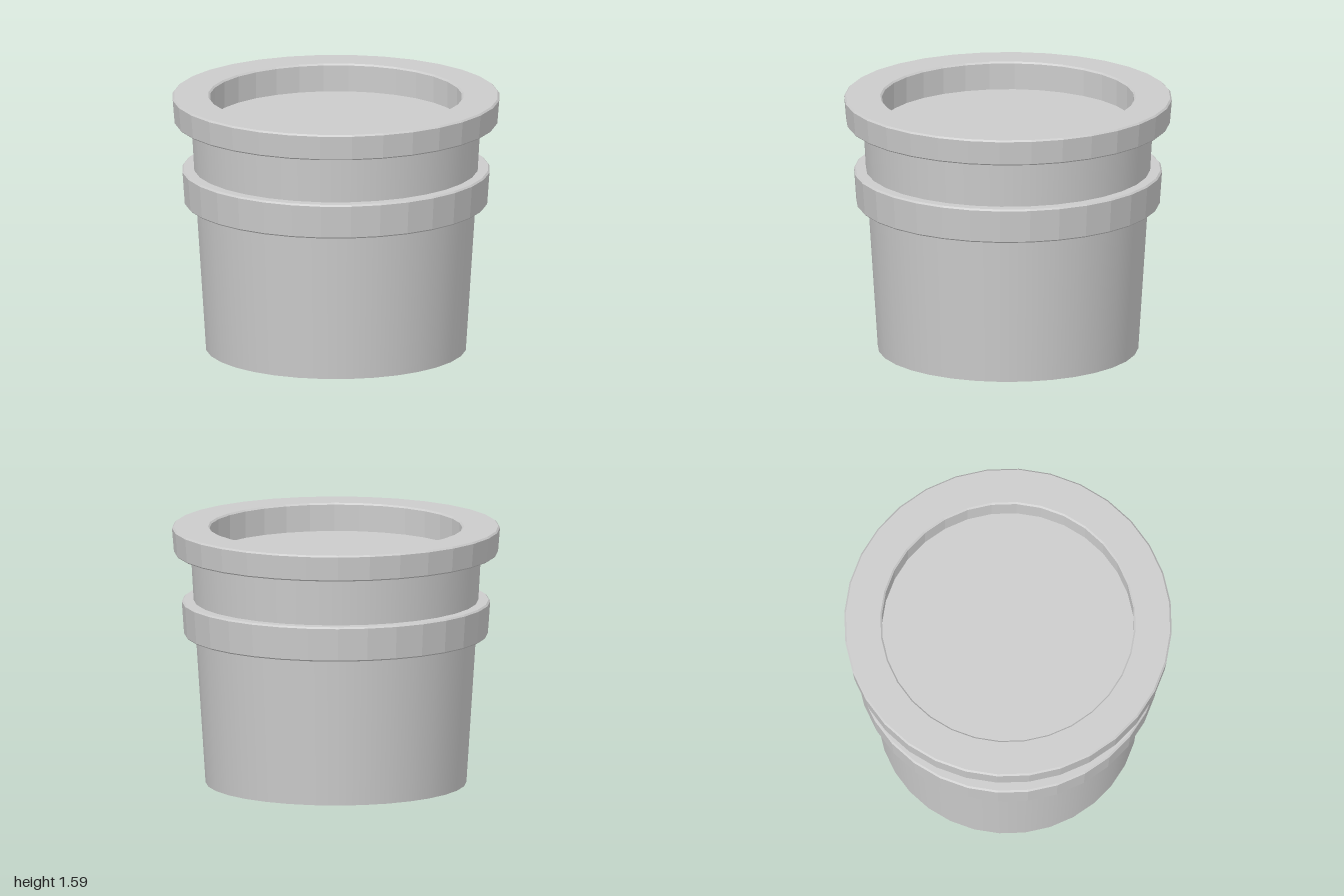
import * as THREE from 'three';

const SIDES = 32;

export function createModel() {
  const group = new THREE.Group();
  const smooth = new THREE.MeshStandardMaterial({ color: 0xcccccc });
  const faceted = new THREE.MeshStandardMaterial({ color: 0xcccccc, flatShading: true });

  const add = (name, geometry, material, y = 0) => {
    const mesh = new THREE.Mesh(geometry, material);
    mesh.name = name;
    mesh.position.y = y;
    group.add(mesh);
  };

  // Smooth tapered wall between two heights
  const wall = (name, r0, y0, r1, y1, open) =>
    add(name, new THREE.CylinderGeometry(r1, r0, y1 - y0, SIDES, 1, open), smooth, (y0 + y1) / 2);

  // Faceted ring turned from [radius, height] points, running bottom to top on the outside
  const ring = (name, points) =>
    add(name, new THREE.LatheGeometry(points.map(([r, y]) => new THREE.Vector2(r, y)), SIDES), faceted);

  // Pot body with closed base, and the neck above the band
  wall('body', 0.795, 0, 0.855, 0.93, false);
  wall('neck', 0.867, 1.12, 0.885, 1.43, true);

  // Raised band around the body, with small bevels
  ring('band', [[0.84, 0.915], [0.918, 0.915], [0.926, 0.923], [0.94, 1.12], [0.93, 1.13], [0.85, 1.13]]);

  // Wide top rim, continuing down the inside of the recess
  ring('rim', [
    [0.87, 1.423], [0.98, 1.423], [0.988, 1.431], [1, 1.575], [0.99, 1.585],
    [0.78, 1.585], [0.77, 1.575], [0.77, 1.41],
  ]);

  // Flat floor of the recess
  add('recessFloor', new THREE.CircleGeometry(0.772, SIDES).rotateX(-Math.PI / 2), smooth, 1.412);

  return group;
}
